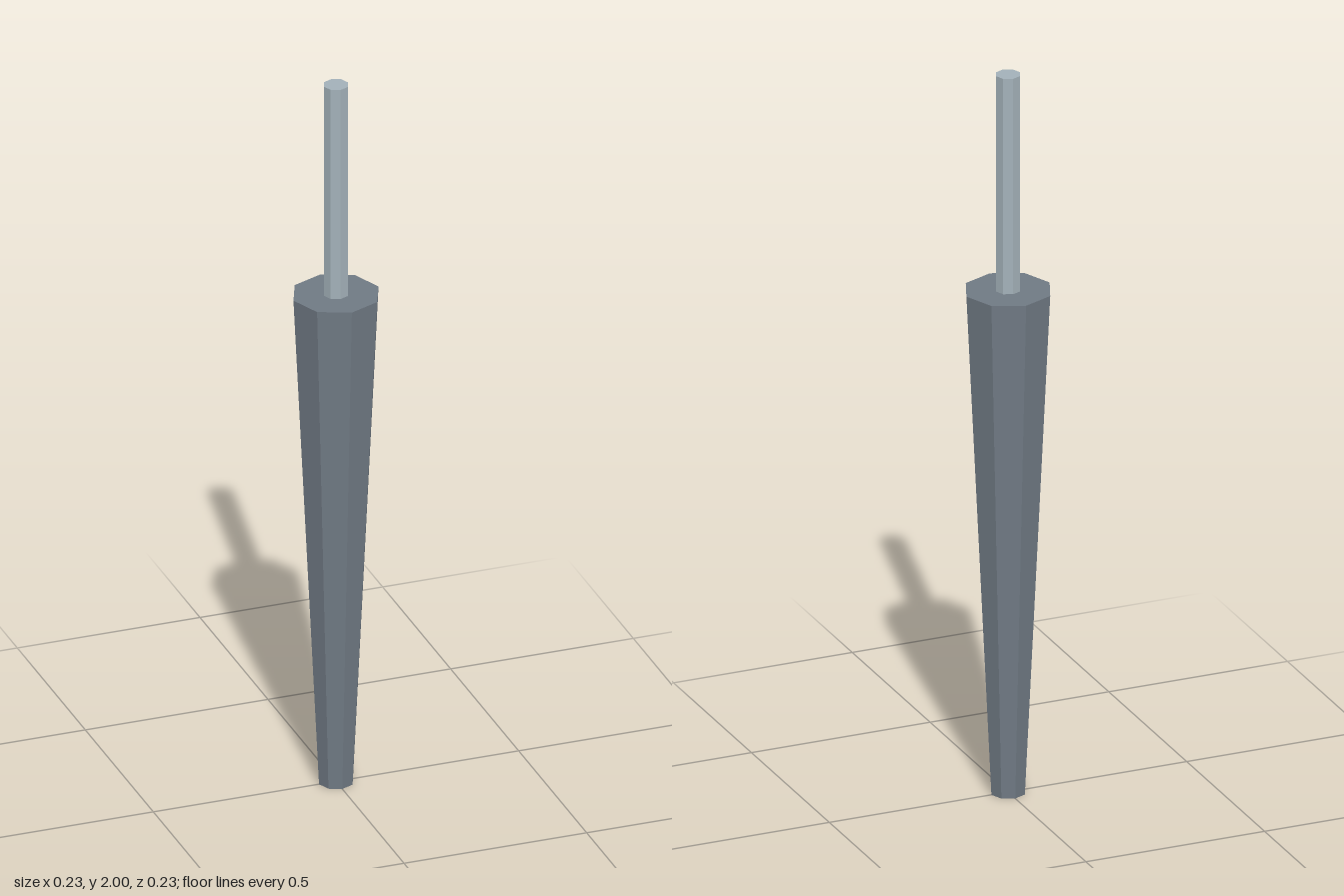
import * as THREE from 'three';

const SIDES = 8;

// Upright eight-sided part spanning y0..y1
function prism(name, rTop, rBottom, y0, y1, color) {
  const geometry = new THREE.CylinderGeometry(rTop, rBottom, y1 - y0, SIDES);
  const material = new THREE.MeshStandardMaterial({ color, flatShading: true });
  const mesh = new THREE.Mesh(geometry, material);
  mesh.name = name;
  mesh.position.y = (y0 + y1) / 2;
  return mesh;
}

export function createModel() {
  const group = new THREE.Group();
  group.name = 'taperedSpike';
  // Dark tapered body, narrow at the foot
  group.add(prism('taperedBody', 0.1165, 0.0465, 0, 1.4, 0x707a84));
  // Thin light rod rising from the body
  group.add(prism('rod', 0.0335, 0.0335, 1.4, 2, 0xa3b1b9));
  return group;
}
